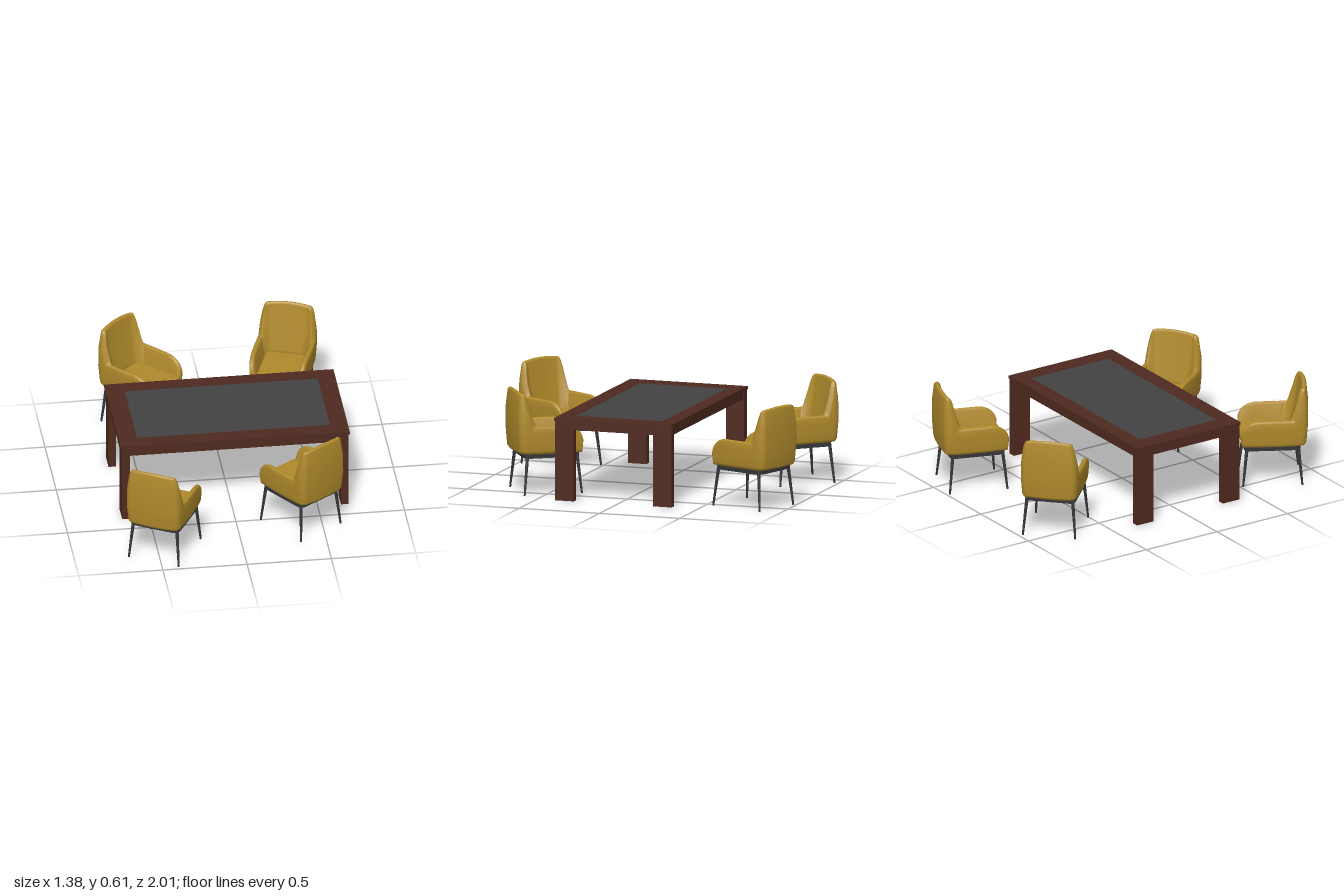
import * as THREE from 'three';
import { RoundedBoxGeometry } from 'three/addons/geometries/RoundedBoxGeometry.js';

const mat = (color, side = THREE.FrontSide) =>
  new THREE.MeshStandardMaterial({ color, side, roughness: 0.8 });
const WOOD = mat(0x4f2a20);
const GLASS = mat(0x424242);
const FABRIC = mat(0xb08a2c, THREE.DoubleSide);
const METAL = mat(0x34363a);
const { smoothstep: smooth, lerp, clamp } = THREE.MathUtils;

function add(parent, name, geometry, material, x = 0, y = 0, z = 0) {
  const mesh = new THREE.Mesh(geometry, material);
  mesh.name = name;
  mesh.position.set(x, y, z);
  parent.add(mesh);
  return mesh;
}

// Box given by its low and high corners
function block(parent, name, material, [x0, y0, z0], [x1, y1, z1]) {
  add(parent, name, new THREE.BoxGeometry(x1 - x0, y1 - y0, z1 - z0), material,
    (x0 + x1) / 2, (y0 + y1) / 2, (z0 + z1) / 2);
}

function roundedRect(w, d, r, Type = THREE.Shape) {
  const s = new Type();
  const x = w / 2, y = d / 2;
  s.moveTo(-x + r, -y);
  s.lineTo(x - r, -y).absarc(x - r, -y + r, r, -Math.PI / 2, 0);
  s.lineTo(x, y - r).absarc(x - r, y - r, r, 0, Math.PI / 2);
  s.lineTo(-x + r, y).absarc(-x + r, y - r, r, Math.PI / 2, Math.PI);
  s.lineTo(-x, -y + r).absarc(-x + r, -y + r, r, Math.PI, Math.PI * 1.5);
  return s;
}

// U-shaped plan: left side, corner, back, mirrored corner and side
function planPoints(side, corner, back) {
  const half = [];
  const sample = (curve, n) => { for (let i = 0; i < n; i++) half.push(curve.getPoint(i / n)); };
  const v = ([x, z]) => new THREE.Vector2(x, z);
  const end = corner[1];
  sample(new THREE.CubicBezierCurve(...side.map(v)), 70);
  sample(new THREE.QuadraticBezierCurve(v(side[3]), ...corner.map(v)), 30);
  sample(new THREE.CubicBezierCurve(v(end), v([end[0] / 2, back]), v([end[0] / 4, back]), v([0, back])), 20);
  const mirrored = half.map(p => new THREE.Vector2(-p.x, p.y)).reverse();
  return [...half, v([0, back]), ...mirrored];
}

// Upholstered shell: cross-sections between an outer and an inner plan, arms low and back high
function shellGeometry() {
  const BASE = 0.243;
  const outer = planPoints([[0.163, 0.2], [0.178, 0.08], [0.178, -0.05], [0.172, -0.15]],
    [[0.171, -0.2], [0.128, -0.202]], -0.21);
  const inner = planPoints([[0.118, 0.2], [0.124, 0.08], [0.124, -0.02], [0.12, -0.075]],
    [[0.115, -0.118], [0.075, -0.12]], -0.124);

  // Height of the rim above a point of the outer plan
  const rim = (x, z) => {
    const t = clamp((z - 0.07) / 0.13, 0, 1);
    const arm = 0.29 + 0.118 * Math.sqrt(1 - t ** 2.4);
    const back = 0.614 - 0.4 * x * x;
    return lerp(back, arm, smooth(z, -0.196, -0.118));
  };

  const pos = [], index = [], last = outer.length - 1;
  let M = 0;
  outer.forEach((p, i) => {
    const H = rim(p.x, p.y) - BASE;
    const backness = 1 - smooth(p.y, -0.18, -0.09);
    const top = lerp(0.62, 0.36, backness);
    const r = 0.013;
    // Share of the way from outer to inner plan, and height above the base
    const ring = [[0.25, 0], [0.08, 0.005], [0, 0.02], [0, H * 0.35], [0, H * 0.7],
      [0.02, H - r], [top * 0.2, H - r * 0.35], [top * 0.5, H], [top * 0.8, H - r * 0.35],
      [top, H - r], [lerp(top, 1, 0.45), H * 0.6], [1, H * 0.2], [1, 0]];
    M = ring.length;
    for (let [s, h] of ring) {
      if (i === 0 || i === last) [s, h] = [0.5, H * 0.5];
      const y = BASE + h;
      const q = p.clone().lerp(inner[i], s);
      const belly = 0.95 + 0.05 * smooth(y, 0.22, 0.38);
      const taper = 1 - 0.1 * smooth(y, 0.42, 0.64);
      pos.push(q.x * belly * taper, y, q.y * belly + 0.01 * smooth(y, 0.5, 0.64));
    }
  });
  for (let i = 0; i < last; i++) for (let j = 0; j < M; j++) {
    const a = i * M + j, b = i * M + (j + 1) % M;
    index.push(a, a + M, b, b, a + M, b + M);
  }
  const g = new THREE.BufferGeometry();
  g.setAttribute('position', new THREE.Float32BufferAttribute(pos, 3));
  g.setIndex(index);
  g.computeVertexNormals();
  return g;
}

function createChair() {
  const chair = new THREE.Group();
  add(chair, 'armAndBackShell', shellGeometry(), FABRIC);
  add(chair, 'seatBase', new RoundedBoxGeometry(0.3, 0.042, 0.35, 3, 0.018), FABRIC, 0, 0.264, 0.018);
  add(chair, 'seatCushion', new RoundedBoxGeometry(0.25, 0.04, 0.314, 3, 0.014), FABRIC, 0, 0.285, 0.038);

  // Open metal frame under the seat
  const outline = roundedRect(0.3, 0.335, 0.035);
  outline.holes.push(roundedRect(0.27, 0.305, 0.02, THREE.Path));
  const ring = new THREE.ExtrudeGeometry(outline, { depth: 0.027, bevelEnabled: false, curveSegments: 6 });
  ring.rotateX(-Math.PI / 2);
  add(chair, 'seatFrame', ring, METAL, 0, 0.218, 0.008);

  // Splayed, tapered legs
  for (const sx of [-1, 1]) for (const [name, footZ, headZ] of [['frontLeg', 0.183, 0.158], ['backLeg', -0.167, -0.144]]) {
    const foot = new THREE.Vector3(sx * 0.158, 0, footZ);
    const head = new THREE.Vector3(sx * 0.137, 0.235, headZ);
    const dir = head.clone().sub(foot);
    const leg = add(chair, name, new THREE.CylinderGeometry(0.0105, 0.006, dir.length(), 12), METAL);
    leg.position.copy(foot).add(head).multiplyScalar(0.5);
    leg.quaternion.setFromUnitVectors(new THREE.Vector3(0, 1, 0), dir.normalize());
  }
  return chair;
}

function createTable() {
  const table = new THREE.Group();
  table.name = 'table';
  const X0 = -0.67, X1 = 0.69, Z0 = -0.34, Z1 = 0.39;      // top outline
  const GX0 = -0.56, GX1 = 0.585, GZ0 = -0.25, GZ1 = 0.295; // glass outline

  // Top boards around the glass
  block(table, 'topEndBoard', WOOD, [X0, 0.476, Z0], [GX0, 0.494, Z1]);
  block(table, 'topEndBoard', WOOD, [GX1, 0.476, Z0], [X1, 0.494, Z1]);
  block(table, 'topSideBoard', WOOD, [GX0, 0.476, Z0], [GX1, 0.494, GZ0]);
  block(table, 'topSideBoard', WOOD, [GX0, 0.476, GZ1], [GX1, 0.494, Z1]);
  block(table, 'glassInset', GLASS, [GX0, 0.476, GZ0], [GX1, 0.492, GZ1]);
  block(table, 'undersidePanel', WOOD, [X0 + 0.02, 0.462, Z0 + 0.02], [X1 - 0.02, 0.476, Z1 - 0.02]);
  block(table, 'undersideBox', METAL, [-0.09, 0.452, -0.065], [0.05, 0.462, 0.045]);

  // Apron rails
  const e = 0.008, t = 0.02;
  for (const z of [Z0 + e, Z1 - e - t])
    block(table, 'sideApron', WOOD, [X0 + e, 0.426, z], [X1 - e, 0.476, z + t]);
  for (const x of [X0 + e, X1 - e - t])
    block(table, 'endApron', WOOD, [x, 0.426, Z0 + e], [x + t, 0.476, Z1 - e]);

  // Board legs, wide along the table ends
  for (const x of [X0 + 0.01, X1 - 0.052]) for (const z of [Z0 + 0.003, Z1 - 0.118])
    block(table, 'tableLeg', WOOD, [x, 0, z], [x + 0.045, 0.476, z + 0.115]);
  return table;
}

export function createModel() {
  const model = new THREE.Group();
  model.name = 'diningSet';
  model.add(createTable());

  // Chairs: x, z and the turn about y
  const places = [[-0.402, -0.744, 0.76], [0.447, -0.772, -0.34],
    [0.382, 0.557, -2.53], [-0.459, 0.754, 2.63]];
  const chair = createChair();
  places.forEach(([x, z, turn], i) => {
    const c = chair.clone();
    c.name = `chair${i + 1}`;
    c.position.set(x, 0, z);
    c.rotation.y = turn;
    model.add(c);
  });
  return model;
}
